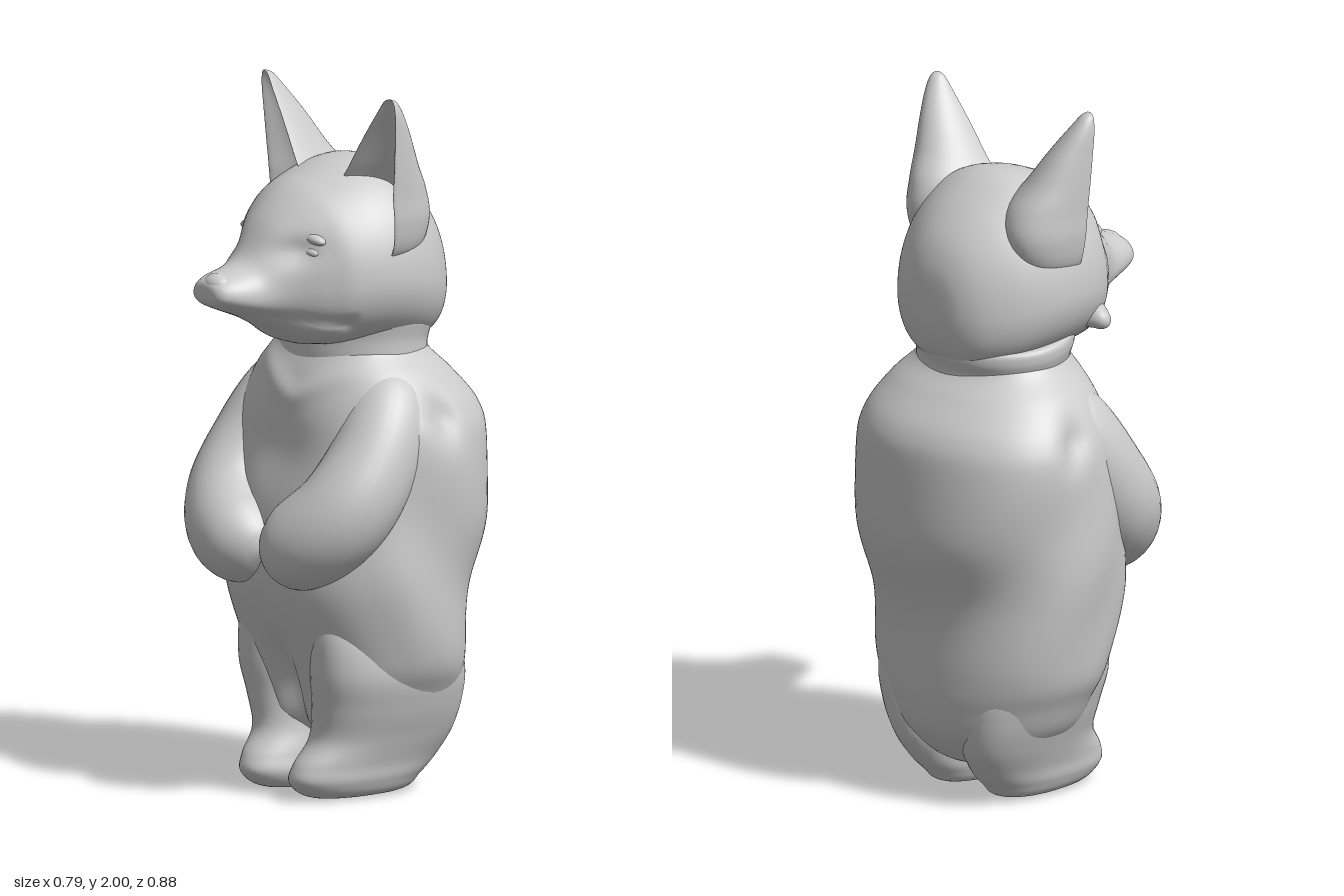
import * as THREE from 'three';
import { mergeVertices } from 'three/addons/utils/BufferGeometryUtils.js';

const material = new THREE.MeshStandardMaterial({ color: 0xcccccc, side: THREE.DoubleSide });
const bump = (d, width) => Math.exp(-(d * d) / (width * width));
const power = (v, p) => Math.sign(v) * Math.abs(v) ** p;

// smooth interpolation through rows of numbers, t from 0 to 1
function sample(rows, t) {
  const f = t * (rows.length - 1), i = Math.min(Math.floor(f), rows.length - 2), k = f - i;
  const at = (n) => rows[Math.max(0, Math.min(rows.length - 1, n))];
  return rows[i].map((b, c) => {
    const a = at(i - 1)[c], d = at(i + 1)[c], e = at(i + 2)[c];
    return b + 0.5 * k * (d - a + k * (2 * a - 5 * b + 4 * d - e + k * (3 * (b - d) + e - a)));
  });
}

// closed rings swept through the rows; ring(row, cos, sin) gives each point
function loft(rows, ring, steps = 64, sides = 64) {
  const pos = [], index = [];
  for (let i = 0; i <= steps; i++) {
    const row = sample(rows, i / steps);
    for (let j = 0; j < sides; j++) {
      const a = (j / sides) * Math.PI * 2;
      pos.push(...ring(row, Math.cos(a), Math.sin(a)));
      if (i === steps) continue;
      const p = i * sides + j, q = i * sides + ((j + 1) % sides);
      index.push(p, p + sides, q, q, p + sides, q + sides);
    }
  }
  const g = new THREE.BufferGeometry();
  g.setAttribute('position', new THREE.Float32BufferAttribute(pos, 3));
  g.setIndex(index);
  g.computeVertexNormals();
  return g;
}

// tube whose radius follows a list along the path, with rounded ends
function limb(points, radii) {
  const curve = new THREE.CatmullRomCurve3(points.map((p) => new THREE.Vector3(...p)));
  const steps = 60, sides = 32;
  let g = new THREE.TubeGeometry(curve, steps, 1, sides);
  const pos = g.attributes.position, v = new THREE.Vector3();
  for (let i = 0; i < pos.count; i++) {
    const t = Math.floor(i / (sides + 1)) / steps, c = curve.getPointAt(t);
    const cap = Math.sqrt(1 - Math.max(0, Math.abs(t - 0.5) * 2 - 0.7) ** 2 / 0.09001);
    const r = sample(radii.map((x) => [x]), t)[0] * cap;
    v.fromBufferAttribute(pos, i).sub(c).multiplyScalar(r).add(c);
    pos.setXYZ(i, v.x, v.y, v.z);
  }
  g.deleteAttribute('uv');
  g.deleteAttribute('normal');
  g = mergeVertices(g, 1e-5);
  g.computeVertexNormals();
  return g;
}

export function createModel() {
  const model = new THREE.Group();
  const add = (name, geometry) => {
    const mesh = new THREE.Mesh(geometry, material);
    mesh.name = name;
    model.add(mesh);
    return mesh;
  };
  const ball = (name, p, s, tilt = 0) => {
    const m = add(name, new THREE.SphereGeometry(1, 28, 18));
    m.position.set(...p);
    m.scale.set(...s);
    m.rotation.z = tilt;
  };

  // body: height, half width, front z, back z
  add('body', loft([
    [0.1, 0, -0.1, -0.1], [0.11, 0.12, 0.02, -0.24], [0.2, 0.245, 0.11, -0.33],
    [0.3, 0.305, 0.14, -0.355], [0.4, 0.35, 0.17, -0.365], [0.6, 0.375, 0.235, -0.385],
    [0.8, 0.385, 0.22, -0.43], [1.0, 0.387, 0.185, -0.435], [1.1, 0.362, 0.165, -0.41],
    [1.19, 0.305, 0.135, -0.335], [1.26, 0.235, 0.1, -0.27], [1.34, 0.18, 0.07, -0.25],
  ], ([y, w, front, back], c, s) => {
    let x = w * power(c, 0.92);
    let z = (front + back) / 2 + ((front - back) / 2) * power(s, 0.9);
    // leg crease, cloth folds and a dent behind each shoulder
    if (s > 0) z -= 0.05 * bump(x, 0.04) * THREE.MathUtils.smoothstep(0.5 - y, 0, 0.2);
    const fade = bump(y - 0.65, 0.4) * THREE.MathUtils.smoothstep(0.7 - s, 0, 0.6);
    const fold = 0.009 * Math.sin(11 * y - 14 * z + 4 * x) * fade;
    const dent = 0.03 * bump(y - 1.08 - 0.4 * (z + 0.14), 0.06) * bump(z + 0.14, 0.045);
    x += c * fold - Math.sign(c) * dent;
    z += s * fold;
    // hollow chest under a soft V neckline
    if (s > 0) z += 0.015 * bump(y - 1.13 - 0.5 * Math.abs(x - 0.04), 0.035) * bump(x, 0.15) - 0.02 * bump(y - 0.98, 0.1) * bump(x, 0.14);
    return [x, y, z];
  }, 90, 96));

  // rolled collar, tilted up to the front and left
  add('collar', loft([
    [1.18, 0.19, 0.16], [1.2, 0.225, 0.19], [1.24, 0.23, 0.195], [1.28, 0.232, 0.196],
    [1.33, 0.245, 0.208], [1.365, 0.24, 0.203], [1.37, 0.19, 0.16],
  ], ([y, w, d], c, s) => [
    0.008 + w * c, y + THREE.MathUtils.smoothstep(y, 1.18, 1.36) * (0.03 * c + 0.03 * s), -0.085 + d * s], 40));

  for (const side of [1, -1]) {
    const label = side > 0 ? 'left' : 'right';
    // leg with its foot: height, centre x, half width, front z, back z
    add(label + 'Leg', loft([
      [0, 0.11, 0, 0.02, 0.02], [0.008, 0.11, 0.07, 0.15, -0.16], [0.05, 0.112, 0.098, 0.21, -0.22],
      [0.1, 0.118, 0.104, 0.2, -0.27], [0.17, 0.13, 0.118, 0.15, -0.31],
      [0.26, 0.15, 0.132, 0.15, -0.325], [0.36, 0.165, 0.14, 0.165, -0.32], [0.48, 0.165, 0.12, 0.165, -0.28],
      [0.58, 0.15, 0.08, 0.14, -0.2],
    ], ([y, cx, w, f, b], c, s) => [
      0.012 + side * cx + w * power(c, 0.9), y, (f + b) / 2 + ((f - b) / 2) * power(s, 0.88)], 60, 48));

    // arm folded across the belly
    add(label + 'Arm', limb([
      [0.15, 1.2, -0.08], [0.23, 1.09, -0.03], [0.262, 0.95, 0.05], [0.24, 0.82, 0.14], [0.15, 0.735, 0.205], [0.012, 0.695, 0.235],
    ].map(([x, y, z]) => [side * x + (x < 0.1 ? 0.032 : 0.005), y, z]), [0.09, 0.12, 0.13, 0.138, 0.135, 0.105]));

    // cupped ear: height, centre x, half width, depth
    const wide = side < 0 ? 1.15 : 1;
    add(label + 'Ear', loft([
      [1.5, 0.19, 0.03, 0.06], [1.56, 0.2, 0.085, 0.14], [1.64, 0.195, 0.112, 0.18], [1.72, 0.195, 0.115, 0.175],
      [1.8, 0.222, 0.092, 0.13], [1.88, 0.25, 0.066, 0.09], [1.95, 0.276, 0.04, 0.05],
      [1.99, 0.287, 0.02, 0.022], [2.0, 0.288, 0.001, 0.002],
    ], ([y, cx, w, d], c, s) => {
      const shape = s < 0 ? s * wide : 0.55 * s - 1.15 * s * s;
      const turn = side < 0 ? 0.35 : 0.1;
      return [0.02 + side * (cx - (wide - 1) * w) + w * wide * c, y, 0.015 + d * shape - side * turn * w * c - 0.1 * Math.max(0, 1.72 - y)];
    }, 50, 48));

    // closed eye and brow
    const ex = 0.02 + side * 0.13;
    ball(label + 'Eye', [ex, 1.565, 0.175], [0.045, 0.018, 0.022], side * -0.12);
    ball(label + 'Brow', [ex, 1.605, 0.168], [0.06, 0.018, 0.025], side * -0.2);
  }

  // head from nose to nape: z, top, bottom, half width
  add('head', loft([
    [0.442, 1.46, 1.46, 0], [0.435, 1.485, 1.425, 0.055], [0.4, 1.505, 1.405, 0.085], [0.31, 1.54, 1.37, 0.112],
    [0.24, 1.645, 1.335, 0.15], [0.165, 1.72, 1.29, 0.215], [0.1, 1.755, 1.28, 0.262], [0, 1.79, 1.275, 0.29],
    [-0.1, 1.795, 1.265, 0.288], [-0.2, 1.735, 1.26, 0.245], [-0.28, 1.65, 1.285, 0.17], [-0.318, 1.56, 1.36, 0.09],
    [-0.325, 1.46, 1.46, 0],
  ], ([z, top, bottom, w], c, s) => {
    const mid = bottom + (top - bottom) * 0.4;
    const y = mid + (s > 0 ? top - mid : mid - bottom) * s;
    let x = w * power(c, s > 0 ? 0.95 : 0.75);
    // mouth line and eye sockets
    if (z > 0.08) x *= 1 - 0.08 * bump(y - 1.395 + 0.12 * (0.4 - z), 0.018);
    const socket = 0.025 * bump(Math.abs(x) - 0.13, 0.05) * bump(y - 1.565, 0.035);
    return [0.015 + x, y, z > 0 ? z - socket : z];
  }, 96, 72));
  ball('nose', [0.025, 1.475, 0.4], [0.05, 0.033, 0.038]);

  // cheek tuft on the right side of the jaw
  add('cheekTuft', limb([[-0.17, 1.42, 0.03], [-0.225, 1.385, 0.08], [-0.27, 1.36, 0.09]], [0.05, 0.045, 0.02]));

  return model;
}
